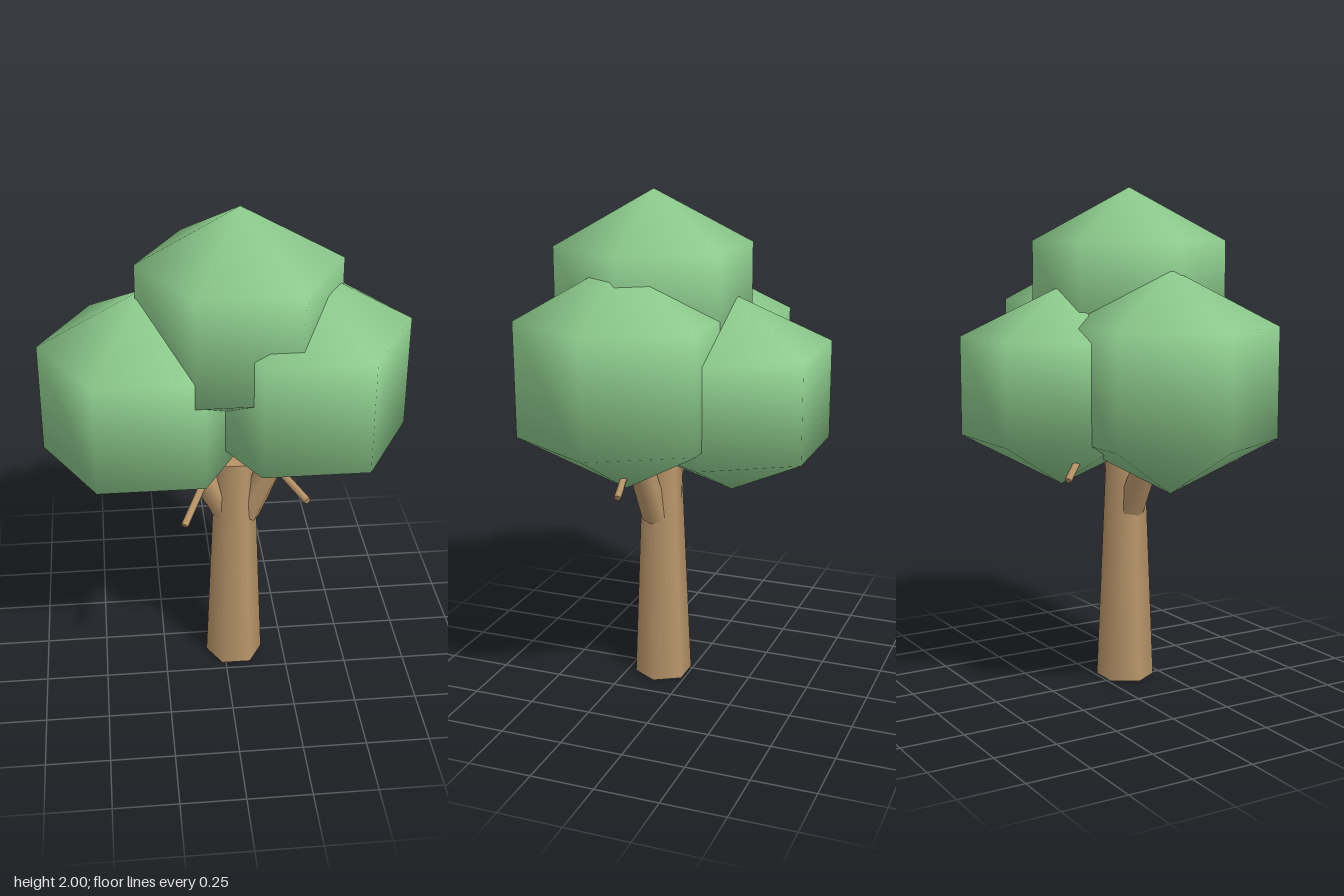
import * as THREE from 'three';

const bark = new THREE.MeshStandardMaterial({ color: 0xb8956a });
const leaf = new THREE.MeshStandardMaterial({ color: 0x8fce8f });

export function createModel() {
  const tree = new THREE.Group();
  tree.name = 'tree';

  // Six-sided tapered limb running from a to b
  const limb = (name, a, b, rA, rB) => {
    const start = new THREE.Vector3(...a);
    const end = new THREE.Vector3(...b);
    const dir = end.clone().sub(start);
    const geo = new THREE.CylinderGeometry(rB, rA, dir.length(), 6, 1, false, Math.PI / 2);
    const mesh = new THREE.Mesh(geo, bark);
    mesh.name = name;
    mesh.position.copy(start).add(end).multiplyScalar(0.5);
    mesh.quaternion.setFromUnitVectors(new THREE.Vector3(0, 1, 0), dir.normalize());
    tree.add(mesh);
  };

  // Trunk and its two forking branches
  limb('trunk', [0.043, 0, 0.113], [0.043, 0.95, 0.113], 0.117, 0.078);
  limb('rightBranch', [0.01, 0.7, 0.115], [-0.13, 0.96, 0.12], 0.055, 0.05);
  limb('leftBranch', [0.09, 0.7, 0.125], [0.2, 0.97, 0.15], 0.055, 0.05);

  // Thin twigs poking out below the foliage
  [
    [[-0.08, 1.03, 0.34], [-0.185, 0.91, 0.515]],
    [[0.17, 1.04, 0.33], [0.27, 0.99, 0.515]],
    [[0.34, 1.0, 0.13], [0.5, 0.91, 0.11]],
    [[-0.12, 1.0, -0.17], [-0.2, 0.895, -0.285]],
  ].forEach(([a, b], i) => limb(`twig${i + 1}`, a, b, 0.014, 0.014));

  // Foliage clumps: six-sided, three-band smooth spheres [name, centre, radii]
  const ball = new THREE.SphereGeometry(1, 6, 3);
  [
    ['topFoliage', [0.055, 1.58, 0.135], [0.444, 0.42, 0.447]],
    ['rightFoliage', [-0.3, 1.253, 0.11], [0.462, 0.43, 0.48]],
    ['leftFoliage', [0.3, 1.325, 0.16], [0.462, 0.445, 0.48]],
    ['backFoliage', [0.045, 1.225, -0.182], [0.468, 0.39, 0.451]],
  ].forEach(([name, centre, radii]) => {
    const clump = new THREE.Mesh(ball, leaf);
    clump.name = name;
    clump.position.set(...centre);
    clump.scale.set(...radii);
    tree.add(clump);
  });

  return tree;
}
